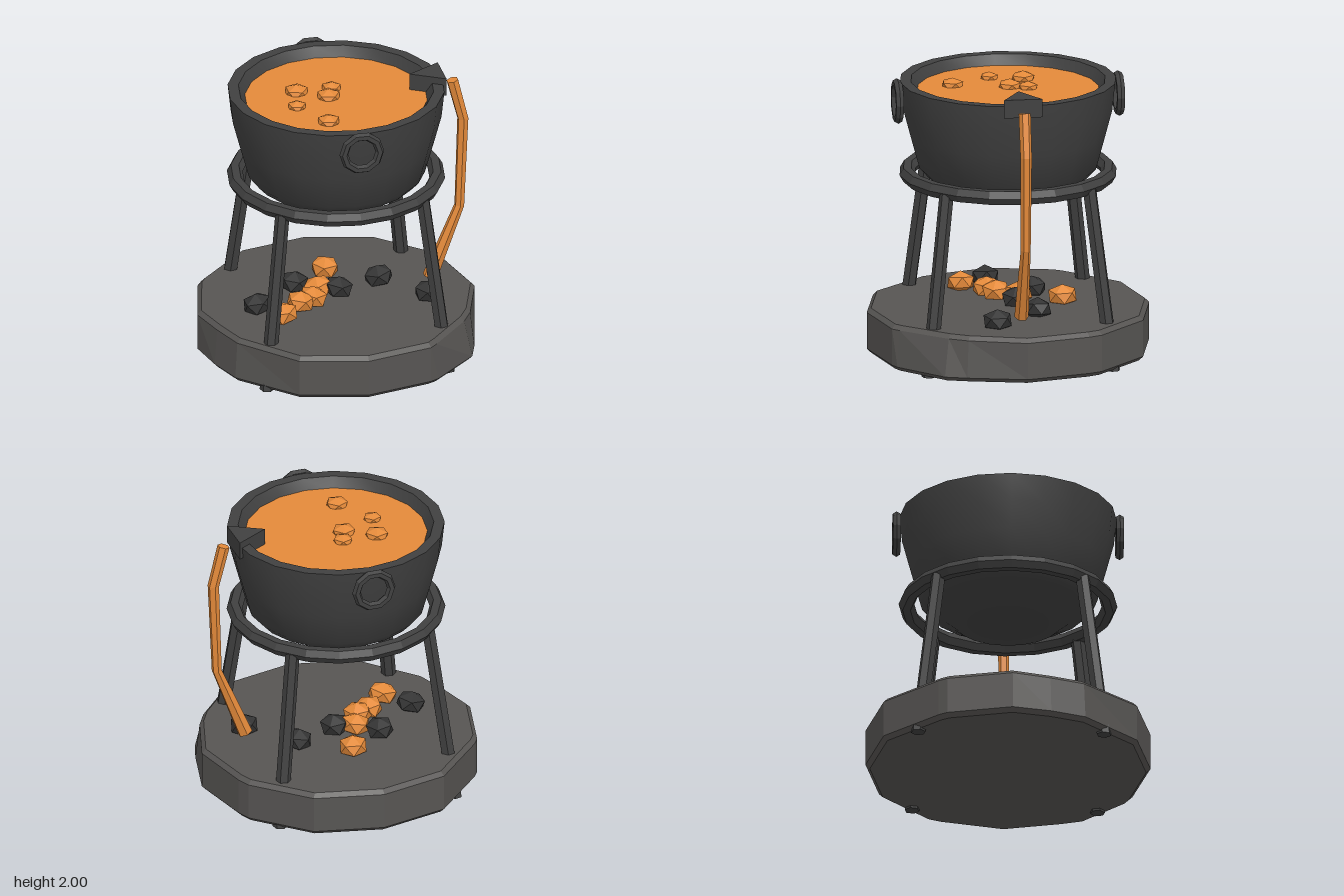
import * as THREE from 'three';
import { toCreasedNormals } from 'three/addons/utils/BufferGeometryUtils.js';

const paint = (color, flat = true) =>
  new THREE.MeshStandardMaterial({ color, flatShading: flat, roughness: 1 });

// Skin a closed solid over rings listed bottom to top, each ring running from +x towards +z.
function loft(rings) {
  const n = rings[0].length, last = (rings.length - 1) * n, index = [];
  for (let r = 0; r < last; r += n) {
    for (let j = 0; j < n; j++) {
      const k = (j + 1) % n;
      index.push(r + j, r + n + j, r + n + k, r + j, r + n + k, r + k);
    }
  }
  for (let j = 1; j < n - 1; j++) {
    index.push(0, j, j + 1, last, last + j + 1, last + j);
  }
  const geo = new THREE.BufferGeometry();
  geo.setAttribute('position', new THREE.Float32BufferAttribute(rings.flat(2), 3));
  geo.setIndex(index);
  const flat = geo.toNonIndexed();
  flat.computeVertexNormals();
  return flat;
}

// Six-sided ring; tilt raises its +x side.
function hexRing(x, y, z, r, tilt = 0, turn = 0) {
  return Array.from({ length: 6 }, (_, i) => {
    const a = turn + i * Math.PI / 3;
    const u = Math.cos(a) * r;
    return [x + u, y + u * tilt, z + Math.sin(a) * r];
  });
}

export function createModel() {
  const model = new THREE.Group();
  const stone = paint(0x575553), iron = paint(0x404040), ironSmooth = paint(0x404040, false);
  const coal = paint(0x343434), molten = paint(0xe48a3a);

  const add = (name, geo, mat, parent = model) => {
    const mesh = new THREE.Mesh(geo, mat);
    mesh.name = name;
    parent.add(mesh);
    return mesh;
  };
  const addGroup = (name) => {
    const group = new THREE.Group();
    group.name = name;
    model.add(group);
    return group;
  };

  // Rough stone base: x, z and how far the upper edge is worn in
  const outline = [
    [0.99, 0, 1], [0.89, 0.41, 0.97], [0.84, 0.56, 0.94], [0.53, 0.85, 0.98], [0.47, 0.88, 1],
    [0, 0.99, 1], [-0.47, 0.88, 1], [-0.84, 0.51, 0.98], [-0.93, 0.27, 0.98], [-0.99, 0, 1],
    [-0.88, -0.45, 1], [-0.84, -0.51, 1], [-0.48, -0.88, 1], [0, -0.99, 1], [0.48, -0.88, 1],
    [0.84, -0.54, 1], [0.88, -0.45, 1],
  ];
  const baseRing = (y, s, worn) => outline.map(([x, z, w]) => {
    const k = s * (worn ? w : 1);
    return [x * k, y, z * k];
  });
  add('stoneBase', loft([
    baseRing(0.02, 0.97, false), baseRing(0.05, 1, false),
    baseRing(0.31, 1, true), baseRing(0.34, 0.97, true),
  ]), stone);

  // Four splayed legs
  const legs = addGroup('legs');
  for (const sx of [-1, 1]) {
    for (const sz of [-1, 1]) {
      const turn = Math.atan2(sz, sx);
      add('leg', loft([
        hexRing(0.645 * sx, 0.005, 0.645 * sz, 0.052, 0, turn),
        hexRing(0.5 * sx, 1.28, 0.5 * sz, 0.05, 0, turn),
      ]), iron, legs);
    }
  }

  // Ring that carries the pot
  const ring = add('supportRing', new THREE.TorusGeometry(0.705, 0.055, 6, 20), iron);
  ring.rotation.x = Math.PI / 2;
  ring.position.y = 1.285;

  // Tapered pot with a thick rim
  const profile = [
    [0, 1.15], [0.37, 1.15], [0.45, 1.215], [0.56, 1.265], [0.62, 1.33], [0.685, 1.57],
    [0.735, 1.76], [0.755, 1.95], [0.68, 1.95], [0.625, 1.86],
  ].map(([r, y]) => new THREE.Vector2(r, y));
  const pot = toCreasedNormals(new THREE.LatheGeometry(profile, 20), 0.7);
  ironSmooth.side = THREE.DoubleSide;
  add('pot', pot, ironSmooth);

  // Molten surface with bubbles
  const surface = add('moltenSurface', new THREE.CircleGeometry(0.635, 20), molten);
  surface.rotation.x = -Math.PI / 2;
  surface.position.y = 1.88;

  const lump = new THREE.IcosahedronGeometry(1, 0).rotateZ(-0.5536);
  const bubbles = addGroup('bubbles');
  [[-0.25, -0.14, 0.09], [0, -0.14, 0.075], [-0.05, -0.02, 0.09], [-0.3, 0.09, 0.07], [-0.14, 0.37, 0.085]]
    .forEach(([x, z, r], i) => {
      const b = add('bubble', lump, molten, bubbles);
      b.position.set(x, 1.885, z);
      b.scale.set(r, r * 0.6, r);
      b.rotation.y = i * 1.3;
    });

  // Ring handles, front and back
  for (const s of [-1, 1]) {
    const handle = add(s > 0 ? 'frontHandle' : 'backHandle', new THREE.TorusGeometry(0.128, 0.031, 6, 10), iron);
    handle.position.set(0, 1.82, 0.775 * s);
  }

  // Wedge spout pointing into the pot, wide end outside
  const spout = add('spout', new THREE.CylinderGeometry(0.155, 0.155, 0.13, 3), iron);
  spout.rotation.y = -Math.PI / 2;
  spout.position.set(0.68, 1.935, 0);

  // Stream pouring from the spout: x, y, radius, tilt
  const stream = [[0.67, 0.42, 0.05, -0.4], [0.88, 0.95, 0.035, -0.15], [0.905, 1.62, 0.04, 0.1], [0.83, 1.92, 0.042, 0.23]];
  add('moltenStream', loft(stream.map(([x, y, r, t]) => hexRing(x, y, 0, r, t, Math.PI / 6))), molten);

  // Coals and glowing embers scattered on the base
  const scatter = (name, mat, spots) => {
    const group = addGroup(name + 's');
    spots.forEach(([x, z], i) => {
      const c = add(name, lump, mat, group);
      c.position.set(x, 0.385, z);
      c.scale.set(0.11, 0.08, 0.105);
      c.rotation.set(0.2 * Math.sin(i * 2), i * 1.1, 0.2 * Math.cos(i * 3), 'XYZ');
    });
  };
  scatter('coal', coal, [[-0.58, 0.08], [-0.25, -0.2], [0.03, -0.05], [0.34, -0.16], [0.62, 0.16]]);
  scatter('ember', molten, [[-0.44, 0.27], [-0.28, 0.11], [-0.18, 0.06], [-0.11, -0.09], [0.01, -0.38]]);

  return model;
}
